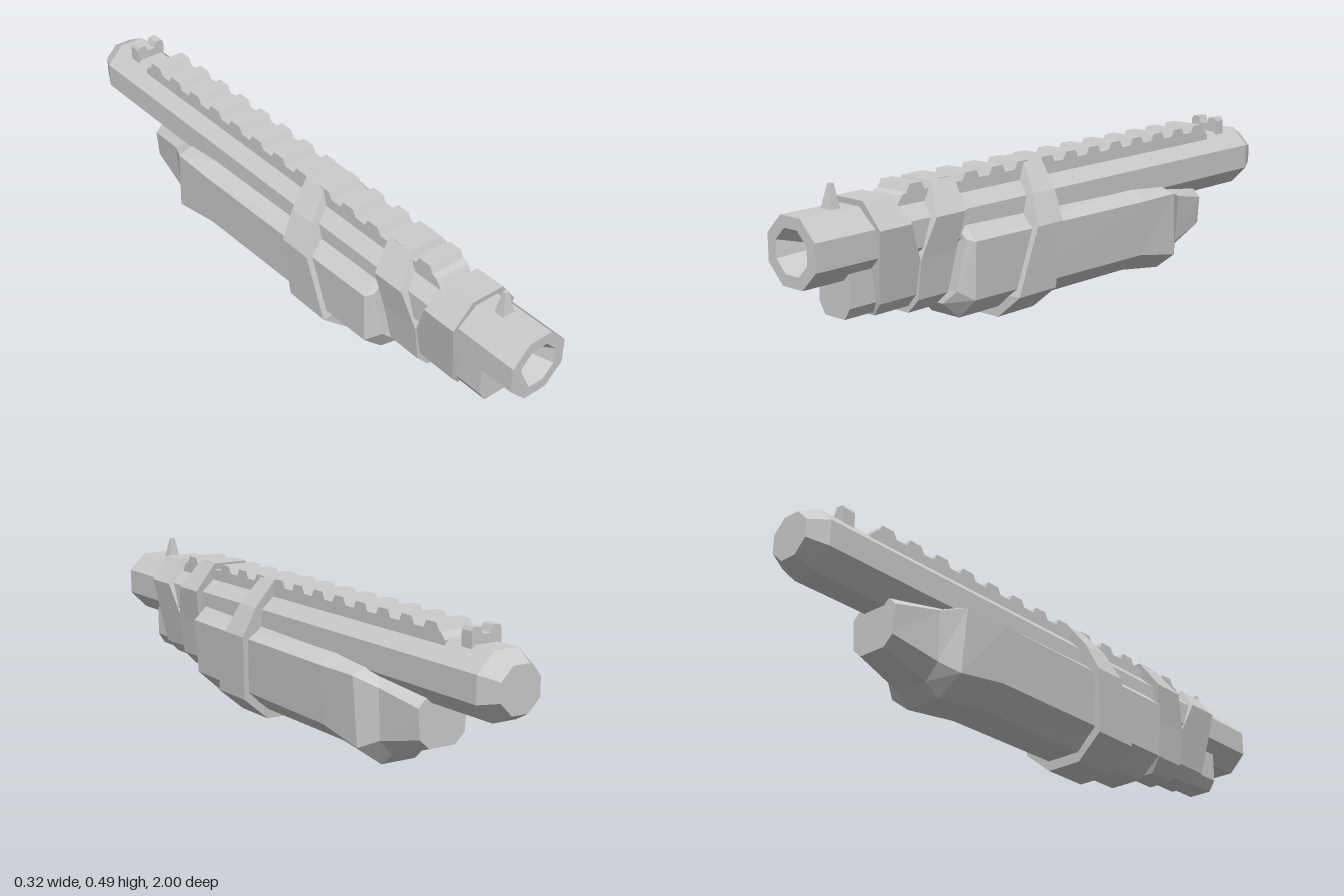
import * as THREE from 'three';

const material = new THREE.MeshStandardMaterial({ color: 0xcccccc, flatShading: true, side: THREE.DoubleSide });

function part(group, name, geometry) {
  const mesh = new THREE.Mesh(geometry, material);
  mesh.name = name;
  group.add(mesh);
  return mesh;
}

// Skin left-right symmetric rings, front to back.
// Each ring lists its +x half from top to bottom as [x, y, z].
function loft(rings) {
  const n = rings[0].length, m = n * 2, pos = [], idx = [];
  for (const half of rings) {
    for (const p of half) pos.push(...p);
    for (const [x, y, z] of [...half].reverse()) pos.push(-x, y, z);
  }
  for (let r = 0; r < rings.length - 1; r++) {
    for (let i = 0; i < m; i++) {
      const a = r * m + i, b = r * m + (i + 1) % m;
      idx.push(a, b, a + m, b, b + m, a + m);
    }
  }
  // end caps, as strips between mirrored points
  const last = (rings.length - 1) * m;
  for (let i = 0; i < n - 1; i++) {
    const R = i, R2 = i + 1, L = m - 1 - i, L2 = m - 2 - i;
    idx.push(R, L, R2, L, L2, R2);
    idx.push(last + R, last + R2, last + L, last + L, last + R2, last + L2);
  }
  const g = new THREE.BufferGeometry();
  g.setAttribute('position', new THREE.Float32BufferAttribute(pos, 3));
  g.setIndex(idx);
  g.computeVertexNormals();
  return g;
}

// Slanted band: rows of [x, y, zFront, zBack]
const band = rows => loft([
  rows.map(([x, y, f]) => [x, y, f]),
  rows.map(([x, y, , b]) => [x, y, b]),
]);

function extrude(points, depth) {
  const shape = new THREE.Shape(points.map(p => new THREE.Vector2(...p)));
  return new THREE.ExtrudeGeometry(shape, { depth, bevelEnabled: false }).translate(0, 0, -depth / 2);
}

export function createModel() {
  const model = new THREE.Group();
  model.name = 'barrelAssembly';

  // Octagonal barrel with a conical bore and chamfered rear
  const profile = [[0, -1], [0.072, -1], [0.1045, -0.94], [0.1045, 1], [0.068, 1], [0, 0.88]];
  const barrel = new THREE.LatheGeometry(profile.map(p => new THREE.Vector2(...p)), 8, Math.PI / 8);
  part(model, 'barrel', barrel.rotateX(Math.PI / 2).translate(0, 0.322, 0));

  // Toothed top rail, profile drawn in (z, y)
  const rail = [[-0.76, 0.40], [-0.76, 0.415], [-0.74, 0.435]];
  for (let i = 0; i < 13; i++) {
    const z = -0.70 + i * 0.109;
    rail.push([z - 0.034, 0.435], [z - 0.022, 0.457], [z + 0.022, 0.457], [z + 0.034, 0.435]);
  }
  rail.push([0.66, 0.428], [0.68, 0.40]);
  part(model, 'topRail', extrude(rail, 0.116).rotateY(-Math.PI / 2));

  // Front sight blade
  part(model, 'frontSight', loft([
    [[0.007, 0.487, 0.866], [0.022, 0.41, 0.882]],
    [[0.007, 0.487, 0.856], [0.022, 0.41, 0.846]],
  ]));

  // Notched rear sight
  part(model, 'rearSight', extrude([
    [-0.05, 0.40], [0.05, 0.40], [0.05, 0.455], [0.044, 0.466], [0.021, 0.466],
    [0.013, 0.445], [-0.013, 0.445], [-0.021, 0.466], [-0.044, 0.466], [-0.05, 0.455],
  ], 0.042).translate(0, 0, -0.84));

  // Tube under the muzzle
  const tube = z => [[0.062, 0.26, z], [0.062, 0.15, z], [0.04, 0.116, z]];
  part(model, 'lowerTube', loft([tube(0.86), tube(0.42)]));

  // Two front straps joining in a V
  part(model, 'frontStrap', band([
    [0.056, 0.436, 0.80, 0.70], [0.115, 0.36, 0.792, 0.676], [0.095, 0.25, 0.78, 0.63],
    [0.076, 0.145, 0.765, 0.63], [0.042, 0.106, 0.755, 0.63],
  ]));
  part(model, 'secondStrap', band([
    [0.058, 0.455, 0.55, 0.46], [0.12, 0.365, 0.588, 0.476], [0.1, 0.25, 0.63, 0.495],
    [0.084, 0.13, 0.63, 0.515], [0.042, 0.086, 0.63, 0.53],
  ]));

  // Fore-end with a beveled front and tapered tail
  part(model, 'foreEnd', loft([
    [[0.08, 0.31, 0.47], [0.115, 0.28, 0.47], [0.09, 0.125, 0.485], [0.042, 0.083, 0.495]],
    [[0.09, 0.322, 0.455], [0.14, 0.275, 0.455], [0.13, 0.10, 0.45], [0.058, 0.034, 0.445]],
    [[0.09, 0.305, -0.30], [0.148, 0.27, -0.30], [0.136, 0.092, -0.30], [0.06, 0.03, -0.30]],
    [[0.09, 0.29, -0.455], [0.145, 0.27, -0.46], [0.138, 0.062, -0.475], [0.06, 0.004, -0.485]],
    [[0.085, 0.27, -0.50], [0.108, 0.245, -0.535], [0.1, 0.09, -0.53], [0.055, 0.042, -0.53]],
    [[0.06, 0.24, -0.685], [0.085, 0.215, -0.685], [0.078, 0.125, -0.685], [0.045, 0.095, -0.685]],
  ]));

  // Large strap around barrel and fore-end
  part(model, 'mainStrap', band([
    [0.058, 0.453, 0.168, 0.09], [0.12, 0.37, 0.195, 0.10], [0.162, 0.28, 0.22, 0.108],
    [0.148, 0.075, 0.285, 0.125], [0.06, 0.001, 0.285, 0.13],
  ]));

  return model;
}
